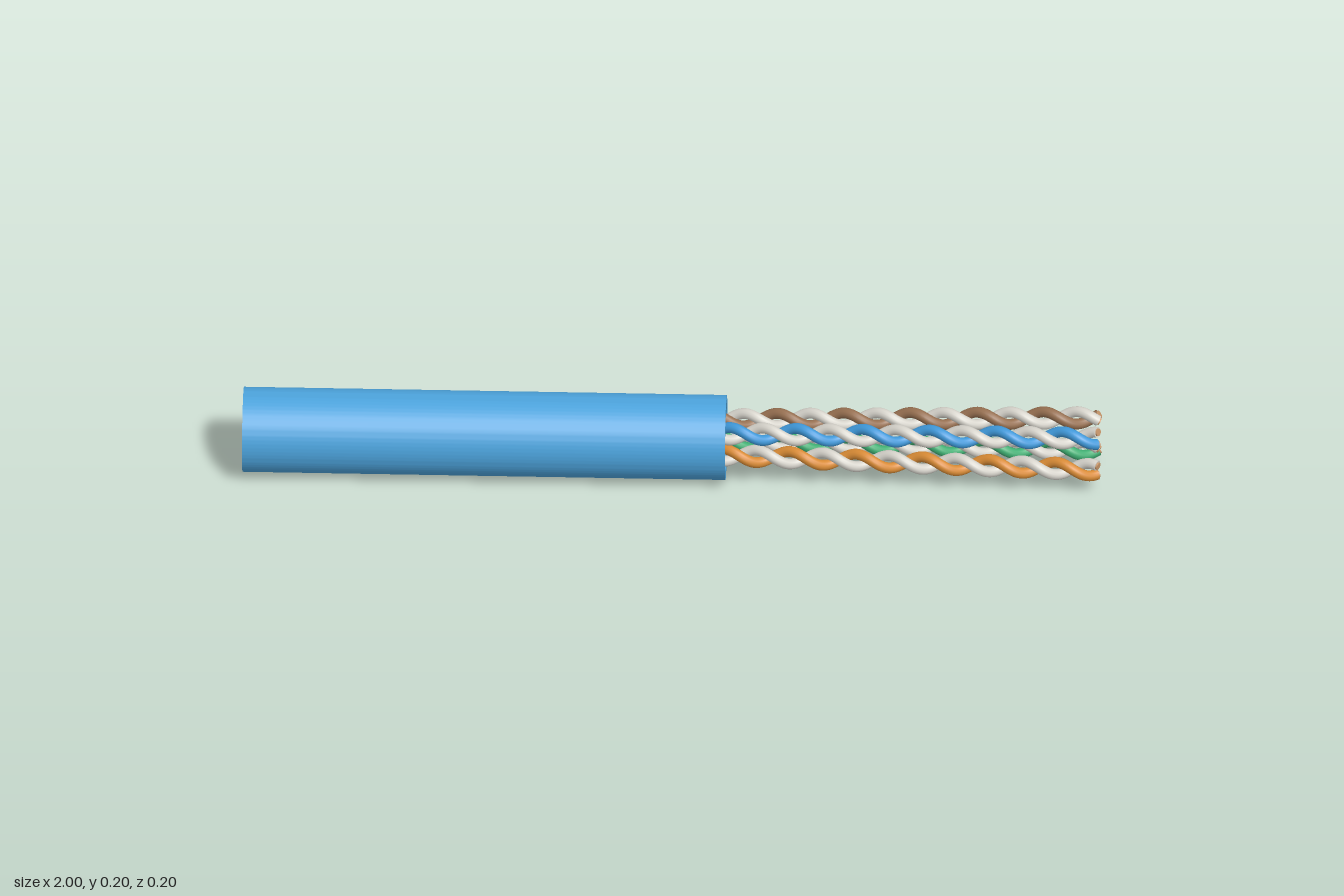
import * as THREE from 'three';
import { toCreasedNormals } from 'three/addons/utils/BufferGeometryUtils.js';

const AXIS_Y = 0.099;      // height of the cable axis
const START = 0.05, END = 0.991;
const PITCH = 0.155;       // length of one full twist
const TWIST_R = 0.0145, STRAND_R = 0.0128, CORE_R = 0.009;

// Helix around a pair axis that drifts slowly outward towards the free end
class StrandCurve extends THREE.Curve {
  constructor(sideY, sideZ, endAngle) {
    super();
    Object.assign(this, { sideY, sideZ, endAngle });
  }
  getPoint(t, target = new THREE.Vector3()) {
    const x = START + (END - START) * t;
    const spread = 0.044 - 0.0165 * (END - x);
    const a = this.endAngle + ((x - END) / PITCH) * Math.PI * 2;
    return target.set(
      x,
      AXIS_Y + this.sideY * spread + TWIST_R * Math.cos(a),
      this.sideZ * spread + TWIST_R * Math.sin(a)
    );
  }
}

function material(name, color) {
  const m = new THREE.MeshStandardMaterial({ color });
  m.name = name;
  return m;
}

function addMesh(parent, name, geometry, mat) {
  const mesh = new THREE.Mesh(geometry, mat);
  mesh.name = name;
  parent.add(mesh);
  return mesh;
}

// One insulated wire with closed ends and a bare core at the tip
function makeStrand(name, curve, insulation, copper) {
  const strand = new THREE.Group();
  strand.name = name;
  addMesh(strand, 'insulation', new THREE.TubeGeometry(curve, 150, STRAND_R, 14), insulation);
  const forward = new THREE.Vector3(0, 0, 1);
  for (const t of [0, 1]) {
    const dir = curve.getTangent(t).multiplyScalar(t ? 1 : -1);
    const cap = addMesh(strand, 'endFace', new THREE.CircleGeometry(STRAND_R, 14), insulation);
    cap.position.copy(curve.getPoint(t));
    cap.quaternion.setFromUnitVectors(forward, dir);
    if (t === 1) {
      const core = addMesh(strand, 'core',
        new THREE.CylinderGeometry(CORE_R, CORE_R, 0.008, 16).rotateX(Math.PI / 2), copper);
      core.position.copy(cap.position);
      core.quaternion.copy(cap.quaternion);
    }
  }
  return strand;
}

export function createModel() {
  const model = new THREE.Group();
  model.name = 'twistedPairCable';

  const jacketBlue = material('jacketBlue', 0x4ca3dc);
  const white = material('offWhite', 0xd6d3cb);
  const copper = material('copper', 0xcb996c);

  // Hollow outer jacket, open at both ends
  const ring = new THREE.Shape().absarc(0, 0, 0.099, 0, Math.PI * 2, false);
  ring.holes.push(new THREE.Path().absarc(0, 0, 0.08, 0, Math.PI * 2, true));
  const jacket = new THREE.ExtrudeGeometry(ring, { depth: 1.125, bevelEnabled: false, curveSegments: 64 });
  jacket.rotateY(Math.PI / 2).translate(-1, AXIS_Y, 0);
  addMesh(model, 'jacket', toCreasedNormals(jacket, 0.6), jacketBlue);

  // Four twisted pairs, each a coloured wire and a white wire
  const pairs = [
    ['blue', 0x3f98d9, 1, 1, 158],
    ['orange', 0xd98b35, -1, 1, 194],
    ['green', 0x3fae72, -1, -1, 230],
    ['brown', 0x966f50, 1, -1, 266],
  ];
  for (const [name, color, sideY, sideZ, degrees] of pairs) {
    const pair = new THREE.Group();
    pair.name = name + 'Pair';
    const angle = THREE.MathUtils.degToRad(degrees);
    pair.add(
      makeStrand(name + 'Wire', new StrandCurve(sideY, sideZ, angle), material(name, color), copper),
      makeStrand('whiteWire', new StrandCurve(sideY, sideZ, angle + Math.PI), white, copper)
    );
    model.add(pair);
  }
  return model;
}
